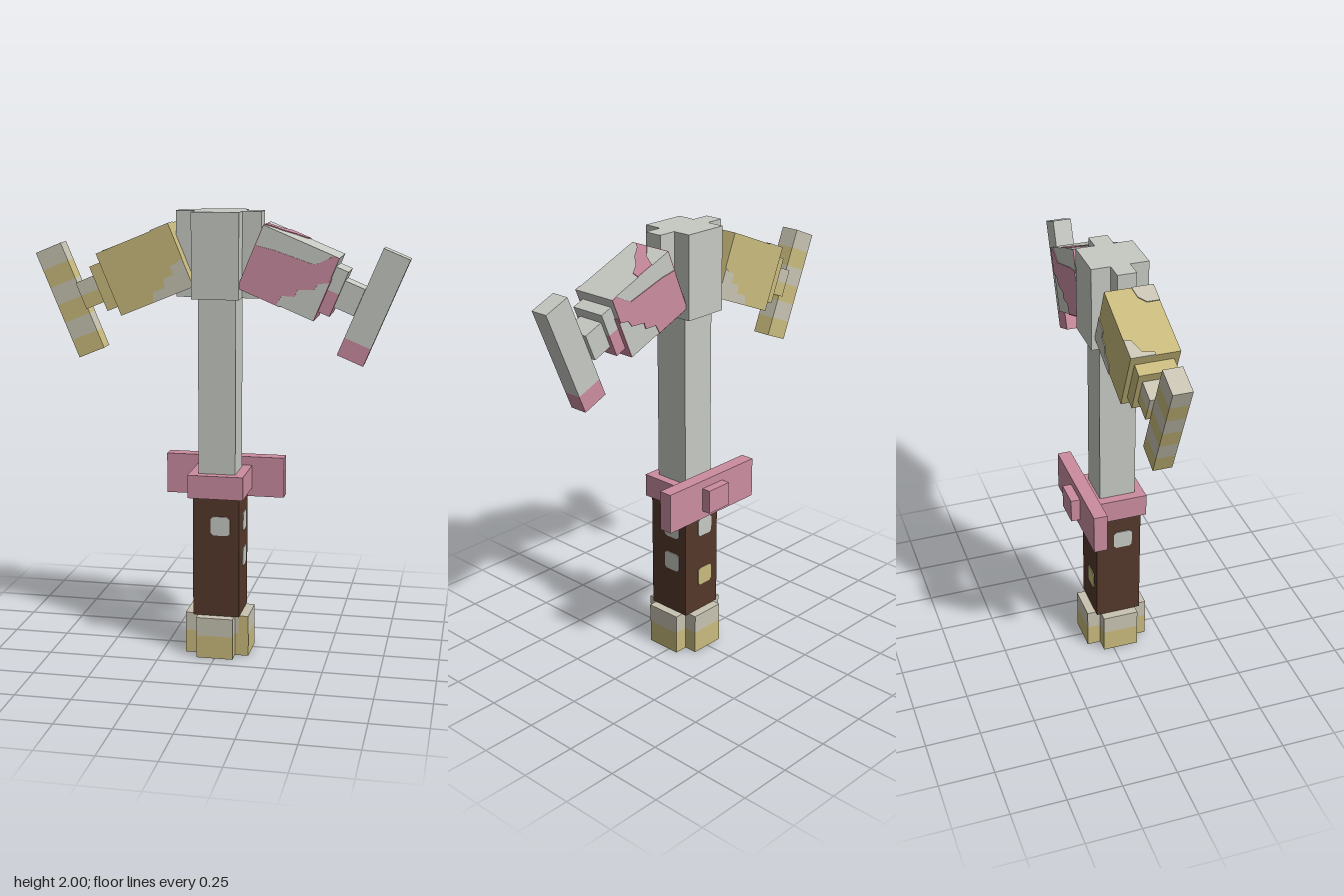
import * as THREE from 'three';

const mat = (name, color) => Object.assign(new THREE.MeshStandardMaterial({ color }), { name });
const CZ = 0.035; // depth of the central axis
const THIN = 0.004;

export function createModel() {
  const steel = mat('steel grey', 0xc7cac3);
  const pink = mat('pink', 0xcb8da0);
  const gold = mat('gold', 0xc9bb7d);
  const cream = mat('cream', 0xc8c3b2);
  const brown = mat('leather brown', 0x55382b);
  const model = new THREE.Group();
  model.name = 'doubleHammer';

  const add = (parent, name, geometry, material) => {
    const mesh = new THREE.Mesh(geometry, material);
    mesh.name = name;
    parent.add(mesh);
    return mesh;
  };
  // Box given by its limits on each axis
  const box = (parent, name, m, [x0, x1], [y0, y1], [z0, z1]) => {
    const mesh = add(parent, name, new THREE.BoxGeometry(x1 - x0, y1 - y0, z1 - z0), m);
    mesh.position.set((x0 + x1) / 2, (y0 + y1) / 2, (z0 + z1) / 2);
    return mesh;
  };
  const extrude = (pts, depth) => new THREE.ExtrudeGeometry(
    new THREE.Shape(pts.map(([x, y]) => new THREE.Vector2(x, y))), { depth, bevelEnabled: false });
  // Upright column with a plus-shaped section; a, b = arm half widths, c, d = arm half lengths
  const crossColumn = (name, m, a, b, c, d, y0, y1) => {
    const pts = [[a, d], [-a, d], [-a, b], [-c, b], [-c, -b], [-a, -b],
      [-a, -d], [a, -d], [a, -b], [c, -b], [c, b], [a, b]];
    const mesh = add(model, name, extrude(pts, y1 - y0), m);
    mesh.rotation.x = -Math.PI / 2;
    mesh.position.set(0, y0, CZ);
  };

  // Pommel in two colour layers
  crossColumn('pommelBase', gold, 0.083, 0.083, 0.145, 0.145, 0, 0.105);
  crossColumn('pommelTop', cream, 0.083, 0.083, 0.145, 0.145, 0.105, 0.19);
  box(model, 'pommelStain', gold, [0.1, 0.145], [0.105, 0.19], [CZ + 0.083, CZ + 0.083 + THIN]);

  // Grip with inlaid studs: [turn about y, sideways offset, height, colour]
  box(model, 'grip', brown, [-0.105, 0.105], [0.19, 0.74], [CZ - 0.105, CZ + 0.105]);
  const s = 0.043, k = 0.032;
  const studGeometry = extrude([[s, -k], [s, k], [k, s], [-k, s], [-s, k], [-s, -k], [-k, -s], [k, -s]], THIN);
  const studs = [[0, 0.02, 0.612, steel], [1, 0.02, 0.612, steel], [1, 0.02, 0.445, steel],
    [2, 0.02, 0.612, steel], [2, 0.02, 0.36, gold], [3, 0.02, 0.612, steel]];
  for (const [turn, offset, y, m] of studs) {
    const side = new THREE.Group();
    side.name = 'gripStud';
    side.position.set(0, y, CZ);
    side.rotation.y = turn * Math.PI / 2;
    add(side, 'stud', studGeometry, m).position.set(offset, 0, 0.105);
    model.add(side);
  }

  // Collar and back guard
  box(model, 'collar', pink, [-0.125, 0.125], [0.74, 0.845], [-0.09, 0.16]);
  box(model, 'guardBar', pink, [-0.272, 0.272], [0.7, 0.885], [-0.137, -0.075]);
  box(model, 'guardKnob', pink, [-0.065, 0.065], [0.737, 0.847], [-0.178, -0.137]);

  // Shaft and head
  box(model, 'shaft', steel, [-0.083, 0.083], [0.845, 1.63], [CZ - 0.083, CZ + 0.083]);
  crossColumn('head', steel, 0.104, 0.042, 0.188, 0.125, 1.627, 2);

  // Hammer arms; u runs outward from the body centre, v up
  const L = 0.175, H = 0.145, D = 0.105;
  const arm = (side, name, base) => {
    const g = new THREE.Group();
    g.name = name;
    g.position.set(side * 0.315, 1.746, CZ);
    g.rotation.z = -side * Math.PI / 8;
    model.add(g);
    const part = (n, m, [u0, u1], v, depth) =>
      box(g, n, m, side > 0 ? [u0, u1] : [-u1, -u0], v, [-depth, depth]);
    const patch = (n, m, pts, face) => {
      const mesh = add(g, n, extrude(pts.map(([u, v]) => [side * u, v]), THIN), m);
      if (face === 'front') mesh.position.z = D;
      if (face === 'back') mesh.position.z = -D - THIN;
      if (face === 'top' || face === 'bottom') {
        mesh.rotation.x = -Math.PI / 2;
        mesh.position.y = face === 'top' ? H : -H - THIN;
      }
    };
    part('hammerBody', base, [-L, L], [-H, H], D);
    return { part, patch };
  };

  // Pink and grey arm
  const a = arm(1, 'leftHammer', steel);
  const pinkArea = [[-L, 0.052], [-0.1, 0.065], [0.09, 0.078], [0.12, 0.11], [0.15, H], [L, H], [L, 0.03],
    [0.136, 0.011], [0.127, -0.021], [0.064, -0.05], [0.064, -0.081], [0.011, -0.1], [0.005, -H], [-L, -H]];
  for (const face of ['front', 'back']) a.patch('pinkPatch', pink, pinkArea, face);
  a.patch('pinkTopStreak', pink, [[-L, -0.08], [-L, -0.015], [-0.117, 0.035], [-0.075, 0.105], [0.013, 0.105],
    [0, 0.065], [-0.05, 0.035], [-0.095, -0.015], [-0.15, -0.05]], 'top');
  a.patch('pinkUnderside', pink, [[-L, -D], [0.02, -D], [0.05, 0], [0.02, D], [-L, D]], 'bottom');
  a.part('pinkInnerEnd', pink, [-L - THIN, -L], [-H, H], D);
  a.part('pinkOuterEnd', pink, [L, L + THIN], [-H, 0.05], D);
  a.part('stepUpper', steel, [L, 0.232], [0, 0.104], 0.083);
  a.part('stepLower', pink, [L, 0.232], [-0.104, 0], 0.083);
  a.part('neck', steel, [0.232, 0.325], [-0.062, 0.062], 0.062);
  a.part('strikePlate', steel, [0.325, 0.449], [-0.167, 0.25], 0.042);
  a.part('strikePlateTip', pink, [0.325, 0.449], [-0.25, -0.167], 0.042);

  // Gold and cream arm
  const b = arm(-1, 'rightHammer', gold);
  const creamArea = [[-L, -0.01], [-0.15, -0.022], [-0.112, -0.026], [-0.112, -0.066], [-0.065, -0.066],
    [-0.055, -0.103], [0, -0.103], [0.02, -H], [-L, -H]];
  for (const face of ['front', 'back']) b.patch('creamPatch', cream, creamArea, face);
  b.patch('creamTopOuter', cream, [[L, D], [0.08, D], [0.09, 0.075], [0.15, 0.05], [0.16, 0], [L, 0]], 'top');
  b.patch('creamTopInner', cream, [[-L, -D], [-0.09, -D], [-0.09, -0.05], [-0.12, -0.02], [-L, -0.01]], 'top');
  b.part('step', gold, [L, 0.232], [-0.104, 0.104], 0.083);
  b.part('neckUpper', cream, [0.232, 0.325], [0, 0.062], 0.062);
  b.part('neckLower', gold, [0.232, 0.325], [-0.062, 0], 0.062);
  for (let i = 0; i < 6; i++) {
    const v = -0.25 + i / 12;
    b.part('strikePlateBand', i % 2 ? cream : gold, [0.325, 0.449], [v, v + 1 / 12], 0.042);
  }
  return model;
}
